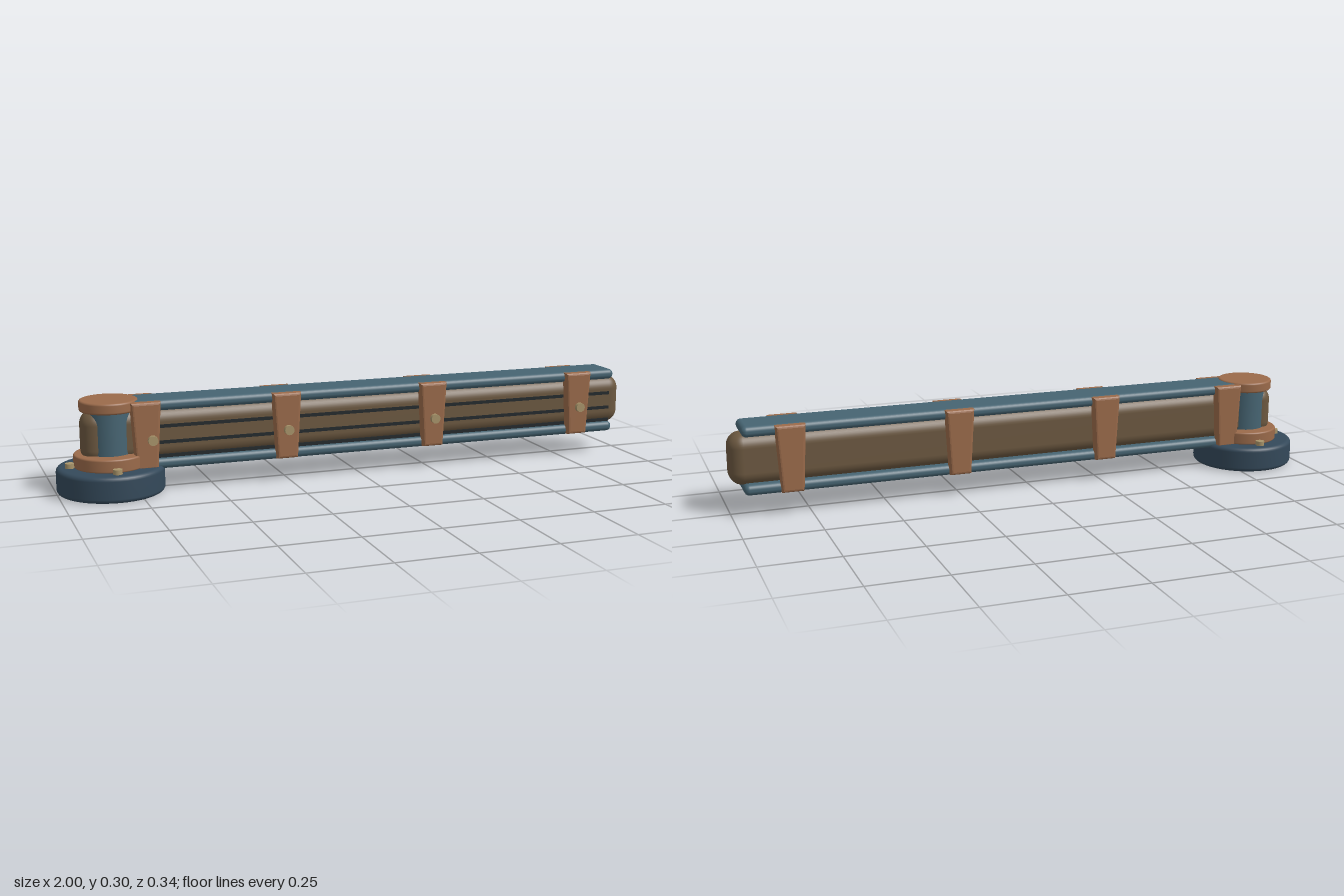
import * as THREE from 'three';
import { RoundedBoxGeometry } from 'three/addons/geometries/RoundedBoxGeometry.js';

const paint = (color) => new THREE.MeshStandardMaterial({ color });
const MAT = {
  base: paint(0x34495a),
  steel: paint(0x466472),
  copper: paint(0x9a6a4a),
  wood: paint(0x6c5840),
  brass: paint(0xa8946a),
  groove: paint(0x22282b),
};
const PIVOT_X = -0.828;
const BEAM_Y = 0.183;

function add(parent, name, geometry, material, x = 0, y = 0, z = 0) {
  const mesh = new THREE.Mesh(geometry, material);
  mesh.name = name;
  mesh.position.set(x, y, z);
  parent.add(mesh);
  return mesh;
}

// Upright disc from y = 0 to h with rounded rims
function disc(r, h, bevel) {
  const pts = [new THREE.Vector2(0, 0), new THREE.Vector2(r - bevel - 0.001, 0)];
  for (const [cy, start] of [[bevel, -Math.PI / 2], [h - bevel, 0]]) {
    for (let i = 0; i <= 5; i++) {
      const a = start + (i / 5) * Math.PI / 2;
      pts.push(new THREE.Vector2(r - bevel + Math.cos(a) * bevel, cy + Math.sin(a) * bevel));
    }
  }
  pts.push(new THREE.Vector2(r - bevel - 0.001, h), new THREE.Vector2(0, h));
  return new THREE.LatheGeometry(pts, 48);
}

// Tapered plate, wider at the top, bevelled all round, facing +z
function clampPlate() {
  const b = 0.009;
  const shape = new THREE.Shape([
    new THREE.Vector2(-0.036 + b, -0.108 + b),
    new THREE.Vector2(0.036 - b, -0.108 + b),
    new THREE.Vector2(0.048 - b, 0.11 - b),
    new THREE.Vector2(-0.048 + b, 0.11 - b),
  ]);
  const geo = new THREE.ExtrudeGeometry(shape, {
    depth: 0.037 - 2 * b, bevelEnabled: true, bevelSize: b, bevelThickness: b, bevelSegments: 3,
  });
  return geo.translate(0, 0, b);
}

function createTurntable() {
  const g = new THREE.Group();
  g.name = 'turntable';
  g.position.x = PIVOT_X;
  add(g, 'base', disc(0.172, 0.085, 0.014), MAT.base);
  add(g, 'collar', disc(0.116, 0.044, 0.006), MAT.copper, 0, 0.083);
  add(g, 'post', new THREE.CylinderGeometry(0.07, 0.07, 0.16, 40), MAT.steel, 0, 0.196);
  add(g, 'cap', disc(0.093, 0.036, 0.007), MAT.copper, 0, 0.264);
  // Studs around the collar
  const stud = new THREE.CylinderGeometry(0.015, 0.015, 0.017, 16);
  for (let i = 0; i < 4; i++) {
    const a = i * Math.PI / 2;
    add(g, 'baseStud', stud, MAT.brass, Math.cos(a) * 0.129, 0.092, Math.sin(a) * 0.129);
  }
  return g;
}

function createArm() {
  const g = new THREE.Group();
  g.name = 'arm';
  // Timber core with rounded ends
  add(g, 'beam', new RoundedBoxGeometry(1.92, 0.17, 0.106, 6, 0.045), MAT.wood, 0.04, BEAM_Y, 0);
  for (const y of [0.21, 0.158, 0.113]) {
    add(g, 'groove', new THREE.BoxGeometry(1.66, 0.011, 0.006), MAT.groove, 0.12, y, 0.052);
  }
  // Rails above and below
  const rail = new RoundedBoxGeometry(1.84, 0.035, 0.134, 5, 0.016);
  add(g, 'topRail', rail, MAT.steel, 0.04, 0.279, 0);
  add(g, 'bottomRail', rail, MAT.steel, 0.04, 0.09, 0);
  // Clamps on both sides, bolted through the front
  const plate = clampPlate();
  const bolt = new THREE.CylinderGeometry(0.016, 0.016, 0.014, 16).rotateX(Math.PI / 2);
  for (const [x, boltX] of [[-0.724, -0.708], [-0.26, -0.26], [0.257, 0.257], [0.81, 0.81]]) {
    add(g, 'frontClamp', plate, MAT.copper, x, 0.185, 0.048);
    add(g, 'backClamp', plate, MAT.copper, x, 0.185, -0.048).rotation.y = Math.PI;
    add(g, 'clampBolt', bolt, MAT.brass, boltX, 0.175, 0.097);
  }
  return g;
}

export function createModel() {
  const model = new THREE.Group();
  model.name = 'swingArm';
  model.add(createTurntable(), createArm());
  return model;
}
